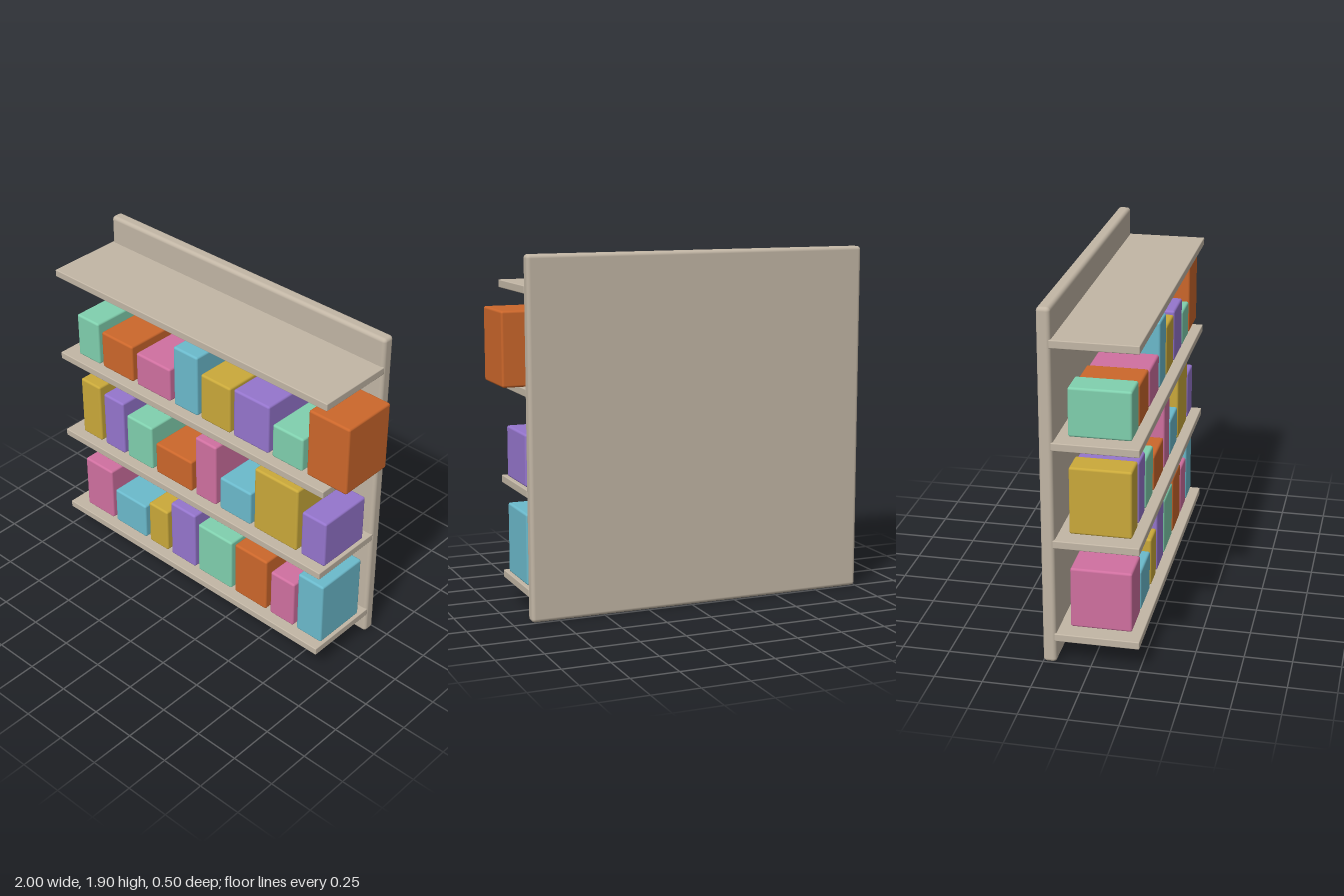
import * as THREE from 'three';
import { RoundedBoxGeometry } from 'three/addons/geometries/RoundedBoxGeometry.js';

const mat = (name, color) => {
  const m = new THREE.MeshStandardMaterial({ color });
  m.name = name;
  return m;
};

export function createModel() {
  const group = new THREE.Group();
  const wood = mat('wood', 0xc2b6a5);
  const mats = {
    teal: mat('teal', 0x80d0ae),
    orange: mat('orange', 0xcc672b),
    pink: mat('pink', 0xd070a0),
    blue: mat('blue', 0x6bbacc),
    yellow: mat('yellow', 0xcaa93a),
    purple: mat('purple', 0x9575cd),
  };

  // Rounded block given by its minimum and maximum corners
  function block(name, material, x0, x1, y0, y1, z0, z1, radius) {
    const geo = new RoundedBoxGeometry(x1 - x0, y1 - y0, z1 - z0, 3, radius);
    const mesh = new THREE.Mesh(geo, material);
    mesh.name = name;
    mesh.position.set((x0 + x1) / 2, (y0 + y1) / 2, (z0 + z1) / 2);
    group.add(mesh);
  }

  // Back panel
  block('backPanel', wood, -1, 0.9, 0, 1.9, -0.25, -0.18, 0.02);

  // Four shelves
  [0.125, 0.65, 1.175, 1.7].forEach((y, i) =>
    block('shelf' + (i + 1), wood, -1, 0.9, y, y + 0.042, -0.19, 0.25, 0.005));

  // Goods on each shelf: colour, left edge, right edge, top
  const rows = [
    { y: 0.168, items: [
      ['pink', -0.91, -0.695, 0.5], ['blue', -0.67, -0.425, 0.39],
      ['yellow', -0.395, -0.25, 0.44], ['purple', -0.22, -0.035, 0.53],
      ['teal', -0.01, 0.24, 0.49], ['orange', 0.265, 0.495, 0.5],
      ['pink', 0.525, 0.69, 0.455], ['blue', 0.715, 0.885, 0.55]] },
    { y: 0.693, items: [
      ['yellow', -0.91, -0.76, 1.055], ['purple', -0.73, -0.575, 1.03],
      ['teal', -0.55, -0.355, 0.97], ['orange', -0.325, -0.055, 0.89],
      ['pink', -0.025, 0.125, 1.075], ['blue', 0.155, 0.375, 0.9],
      ['yellow', 0.4, 0.695, 1.083], ['purple', 0.725, 0.885, 0.97]] },
    { y: 1.218, items: [
      ['teal', -0.91, -0.745, 1.475], ['orange', -0.72, -0.485, 1.44],
      ['pink', -0.455, -0.205, 1.42], ['blue', -0.175, -0.005, 1.58],
      ['yellow', 0.02, 0.225, 1.495], ['purple', 0.25, 0.49, 1.505],
      ['teal', 0.515, 0.715, 1.415], ['orange', 0.745, 1, 1.61]] },
  ];
  rows.forEach(({ y, items }, r) => items.forEach(([color, x0, x1, top], i) =>
    block(`shelf${r + 1}Box${i + 1}`, mats[color], x0, x1, y, top, -0.125, 0.195, 0.012)));

  return group;
}
